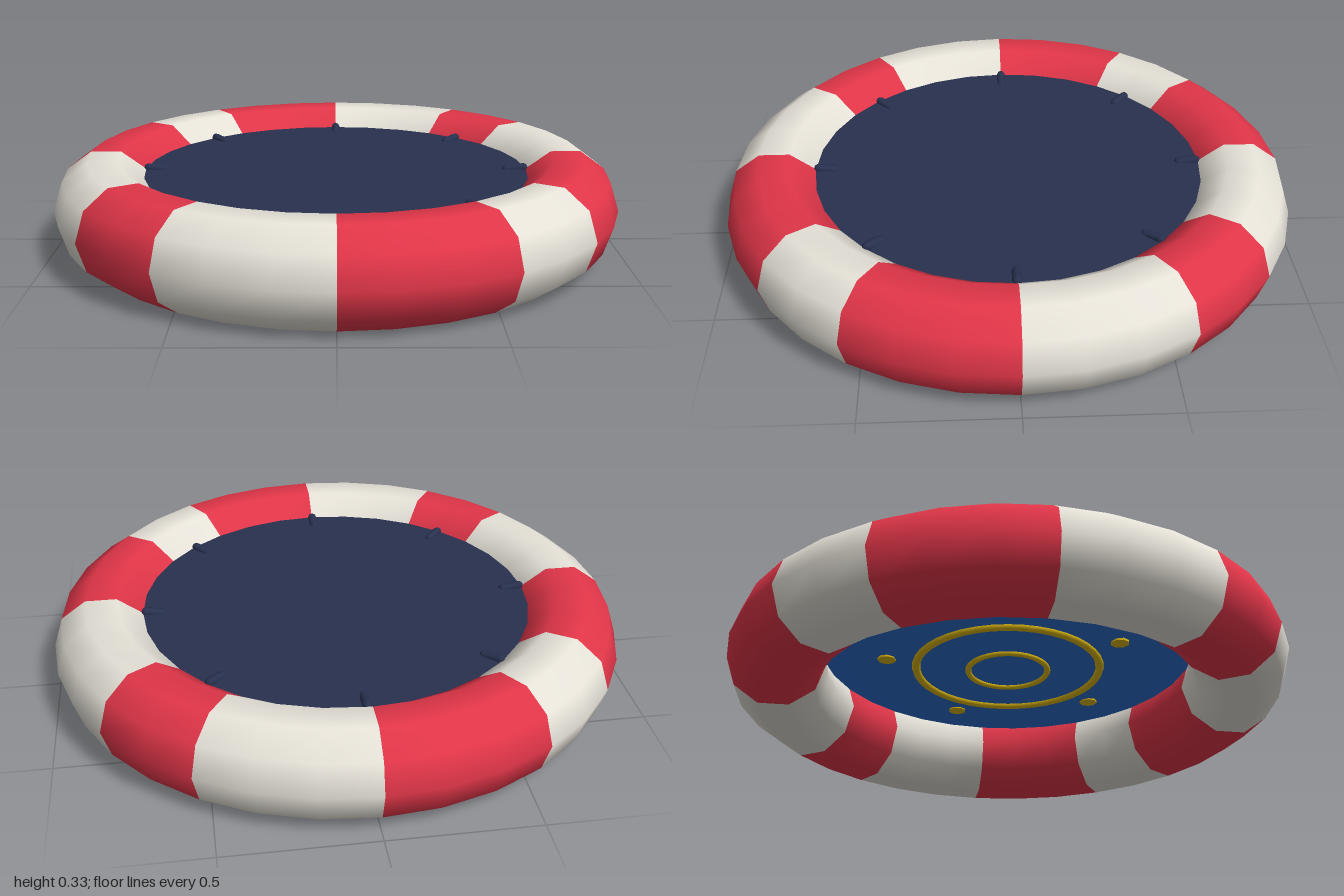
import * as THREE from 'three';

const RING_R = 0.826, TUBE_R = 0.174, MID_Y = 0.165, STEP = Math.PI / 16;

function material(name, color) {
  const m = new THREE.MeshStandardMaterial({ color });
  m.name = name;
  return m;
}

export function createModel() {
  const red = material('red', 0xe23649);
  const white = material('off white', 0xe8e4da);
  const navy = material('navy', 0x28314f);
  const blue = material('blue', 0x2c70d2);
  const gold = material('gold', 0xdeb812);

  const model = new THREE.Group();
  model.name = 'stripedFloat';
  const add = (name, geometry, mat, parent = model) => {
    const mesh = new THREE.Mesh(geometry, mat);
    mesh.name = name;
    parent.add(mesh);
    return mesh;
  };
  const group = (name) => {
    const g = new THREE.Group();
    g.name = name;
    model.add(g);
    return g;
  };

  // Inflated ring: alternating stripes, each three or two facets long
  const ring = group('inflatedRing');
  let facet = 0;
  for (let i = 0; i < 12; i++) {
    const count = [3, 2, 3][i % 3];
    const stripe = new THREE.TorusGeometry(RING_R, TUBE_R, 10, count, count * STEP);
    stripe.rotateX(Math.PI / 2).rotateY(-facet * STEP).translate(0, MID_Y, 0);
    add(i % 2 ? 'whiteStripe' : 'redStripe', stripe, i % 2 ? white : red, ring);
    facet += count;
  }

  // Flat deck across the hole
  add('deck', new THREE.CylinderGeometry(0.69, 0.69, 0.02, 32).translate(0, 0.256, 0), navy);

  // Shallow bowl below the deck
  const bowl = new THREE.SphereGeometry(0.68, 32, 10, 0, Math.PI * 2, Math.PI / 2, Math.PI / 2);
  bowl.scale(1, 0.058 / 0.68, 1).translate(0, 0.246, 0);
  add('bowl', bowl, blue);

  // Lacing pegs around the deck edge, rising slightly outward
  const pegs = group('lacingPegs');
  for (let i = 0; i < 8; i++) {
    const peg = new THREE.CapsuleGeometry(0.016, 0.06, 3, 8);
    peg.rotateZ(Math.PI / 2 + 0.13).translate(0.645, 0.267, 0).rotateY((i * Math.PI) / 4);
    add('peg', peg, navy, pegs);
  }

  // Two trim rings on the underside
  for (const [name, r, tube, y] of [['outerTrim', 0.334, 0.015, 0.194], ['innerTrim', 0.144, 0.011, 0.187]]) {
    add(name, new THREE.TorusGeometry(r, tube, 8, 40).rotateX(Math.PI / 2).translate(0, y, 0), gold);
  }

  // Five low studs outside the trim rings
  const studs = group('studs');
  for (let i = 0; i < 5; i++) {
    const stud = new THREE.CylinderGeometry(0.033, 0.033, 0.016, 8);
    stud.translate(0, 0.204, -0.44).rotateY((i * Math.PI * 2) / 5);
    add('stud', stud, gold, studs);
  }

  return model;
}
